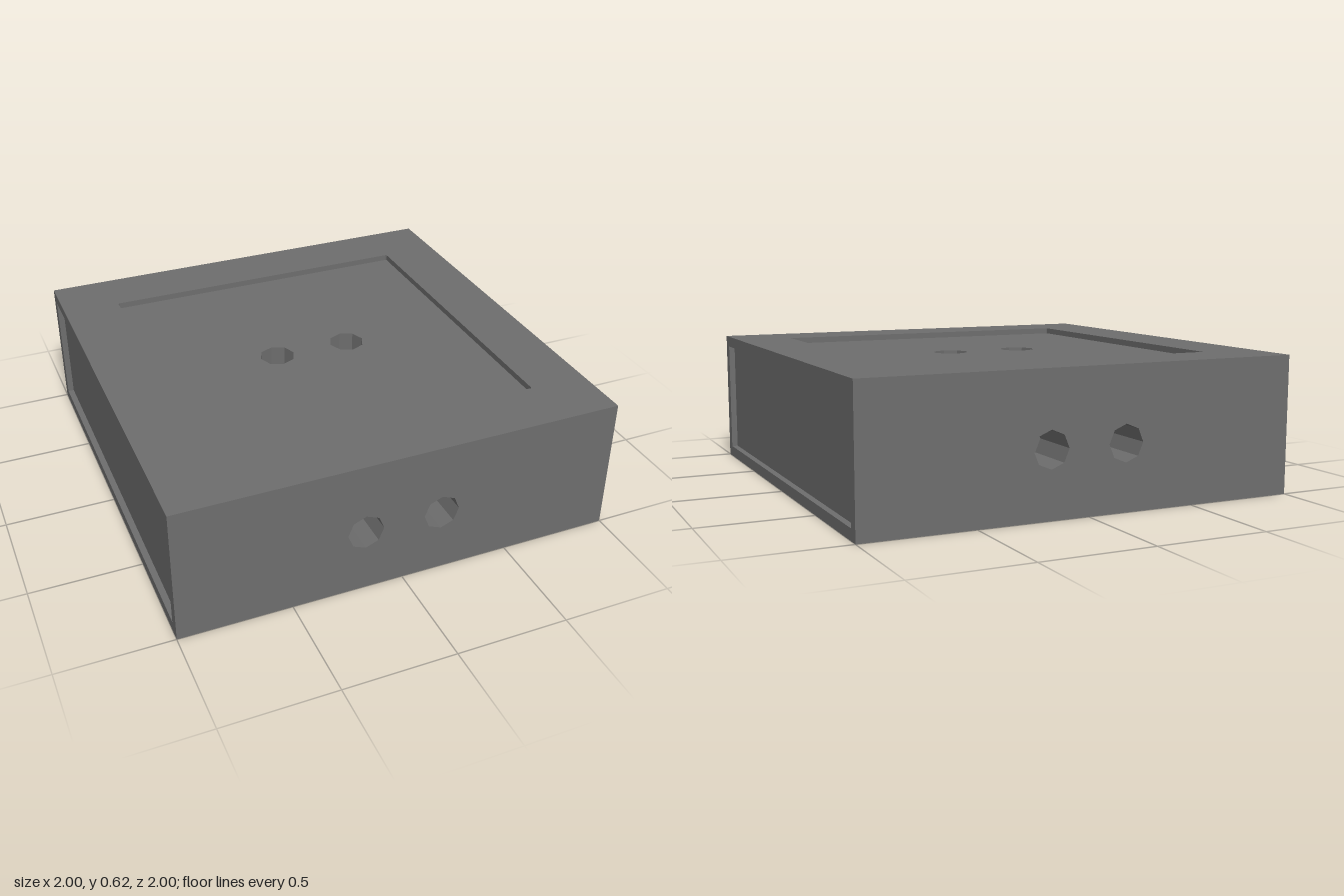
import * as THREE from 'three';

const HEIGHT = 0.62, HOLE_R = 0.081, HOLE_X = 0.174, HOLE_DEPTH = 0.25, RECESS = 0.028;
const material = new THREE.MeshStandardMaterial({ color: 0x6d6d6d, flatShading: true });

// Rectangle outline, counter-clockwise, with optional cut corners
function rect(w, h, cut = 0) {
  const x = w / 2, y = h / 2;
  const p = cut
    ? [[-x + cut, -y], [x - cut, -y], [x, -y + cut], [x, y - cut],
       [x - cut, y], [-x + cut, y], [-x, y - cut], [-x, -y + cut]]
    : [[-x, -y], [x, -y], [x, y], [-x, y]];
  return p.map(([a, b]) => new THREE.Vector2(a, b));
}

// Pair of octagonal hole outlines
function holePair(y) {
  return [-HOLE_X, HOLE_X].map((cx) => Array.from({ length: 8 }, (_, i) => {
    const a = (i * Math.PI) / 4;
    return new THREE.Vector2(cx + HOLE_R * Math.cos(a), y + HOLE_R * Math.sin(a));
  }));
}

// Flat surface facing +z, pierced by the given outlines
function plate(name, outline, holes = [], z = 0) {
  const shape = new THREE.Shape(outline);
  holes.forEach((h) => shape.holes.push(new THREE.Path(h)));
  const mesh = new THREE.Mesh(new THREE.ShapeGeometry(shape), material);
  mesh.name = name;
  mesh.position.z = z;
  return mesh;
}

// Inward-facing walls going down from an outline
function walls(name, outline, depth, z = 0) {
  const pos = [];
  outline.forEach((a, i) => {
    const b = outline[(i + 1) % outline.length];
    pos.push(a.x, a.y, 0, b.x, b.y, 0, b.x, b.y, -depth);
    pos.push(a.x, a.y, 0, b.x, b.y, -depth, a.x, a.y, -depth);
  });
  const geo = new THREE.BufferGeometry();
  geo.setAttribute('position', new THREE.Float32BufferAttribute(pos, 3));
  geo.computeVertexNormals();
  const mesh = new THREE.Mesh(geo, material);
  mesh.name = name;
  mesh.position.z = z;
  return mesh;
}

// Blind holes sunk from height z
function blindHoles(outlines, z = 0) {
  return outlines.flatMap((o) => [
    walls('holeWall', o, HOLE_DEPTH, z),
    plate('holeFloor', o, [], z - HOLE_DEPTH),
  ]);
}

function part(name, ...children) {
  const g = new THREE.Group();
  g.name = name;
  g.add(...children);
  return g;
}

export function createModel() {
  const model = new THREE.Group();
  model.name = 'block';

  // Front and back faces with two holes each
  for (const s of [1, -1]) {
    const holes = holePair(-0.018);
    const face = part(s > 0 ? 'frontFace' : 'backFace',
      plate('facePlate', rect(2, HEIGHT), holes), ...blindHoles(holes));
    face.position.set(0, HEIGHT / 2, s);
    face.rotation.y = s > 0 ? 0 : Math.PI;
    model.add(face);
  }

  // Side faces with a shallow rectangular recess
  for (const s of [1, -1]) {
    const recess = rect(1.9, 0.52);
    const face = part(s > 0 ? 'leftFace' : 'rightFace',
      plate('sideFrame', rect(2, HEIGHT), [recess]),
      walls('recessWall', recess, RECESS),
      plate('sidePanel', recess, [], -RECESS));
    face.position.set(s, HEIGHT / 2, 0);
    face.rotation.y = (s * Math.PI) / 2;
    model.add(face);
  }

  // Top with a square recess and two holes in its floor
  const recess = rect(1.47, 1.47, 0.005);
  const holes = holePair(0);
  const top = part('topFace',
    plate('topFrame', rect(2, 2), [recess]),
    walls('recessWall', recess, RECESS),
    plate('topPanel', recess, holes, -RECESS),
    ...blindHoles(holes, -RECESS));
  top.position.y = HEIGHT;
  top.rotation.x = -Math.PI / 2;
  model.add(top);

  // Plain underside
  const base = plate('underside', rect(2, 2));
  base.rotation.x = Math.PI / 2;
  model.add(base);

  return model;
}
